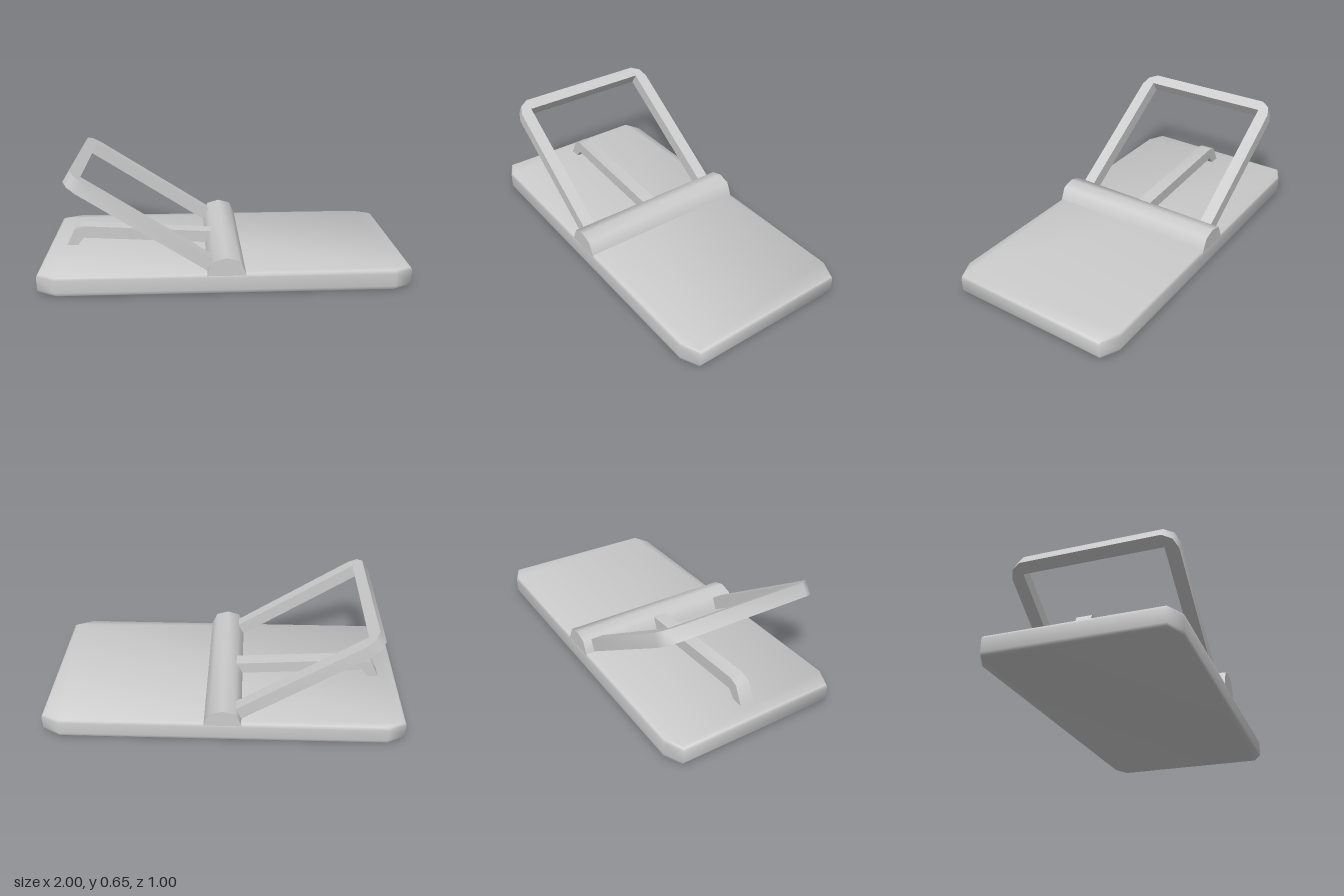
import * as THREE from 'three';
import { toCreasedNormals } from 'three/addons/utils/BufferGeometryUtils.js';

const material = new THREE.MeshStandardMaterial({ color: 0xcccccc });

function outline(points) {
  return new THREE.Shape(points.map(([x, y]) => new THREE.Vector2(x, y)));
}

function part(name, geometry) {
  const mesh = new THREE.Mesh(toCreasedNormals(geometry, 1.2), material);
  mesh.name = name;
  return mesh;
}

// Side profile in x/y, swept across z and centred on z = 0
function sideProfile(points, width) {
  return new THREE.ExtrudeGeometry(outline(points), { depth: width, bevelEnabled: false })
    .translate(0, 0, -width / 2);
}

export function createModel() {
  const model = new THREE.Group();

  // Base board with cut corners; the plan is drawn stretched in z so that
  // the edge bevel comes out softer along the long sides
  const stretch = 4;
  const plan = [
    [0.9, 0.5], [-0.9, 0.5], [-1, 0.45], [-1, -0.45],
    [-0.9, -0.5], [0.9, -0.5], [1, -0.45], [1, 0.45],
  ].map(([x, z]) => [x, z * stretch]);
  const bevel = 0.02;
  const board = new THREE.ExtrudeGeometry(outline(plan), {
    depth: 0.11 - 2 * bevel,
    bevelSize: bevel,
    bevelThickness: bevel,
    bevelOffset: -bevel,
    bevelSegments: 2,
  });
  board.translate(0, 0, bevel).rotateX(-Math.PI / 2).scale(1, 1, 1 / stretch);
  model.add(part('baseBoard', board));

  // Hinge ridge across the middle
  model.add(part('hingeRidge', sideProfile([
    [0.105, 0.1], [0.1, 0.115], [0.07, 0.18], [0, 0.2],
    [-0.07, 0.18], [-0.1, 0.115], [-0.105, 0.1],
  ], 1)));

  // Raised striking frame: a U with cut outer corners, tilted up from the ridge
  const length = 0.882;
  const half = [
    [0.03, 0.45], [-length + 0.085, 0.45], [-length + 0.03, 0.43], [-length, 0.38],
  ];
  const mirrored = half.map(([x, z]) => [x, -z]).reverse();
  const inner = -length + 0.065;
  const frame = new THREE.ExtrudeGeometry(
    outline([...half, ...mirrored, [0.03, -0.38], [inner, -0.38], [inner, 0.38], [0.03, 0.38]]),
    { depth: 0.072, bevelEnabled: false },
  );
  frame.rotateX(-Math.PI / 2).rotateZ(-Math.atan2(0.48, 0.74)).translate(-0.1, 0.11, 0);
  model.add(part('strikingFrame', frame));

  // Low holding bar with its bent foot on the board
  model.add(part('holdingBar', sideProfile([
    [-0.05, 0.18], [-0.8, 0.225], [-0.85, 0.207], [-0.9, 0.105],
    [-0.84, 0.105], [-0.8, 0.155], [-0.05, 0.112],
  ], 0.08)));

  return model;
}
